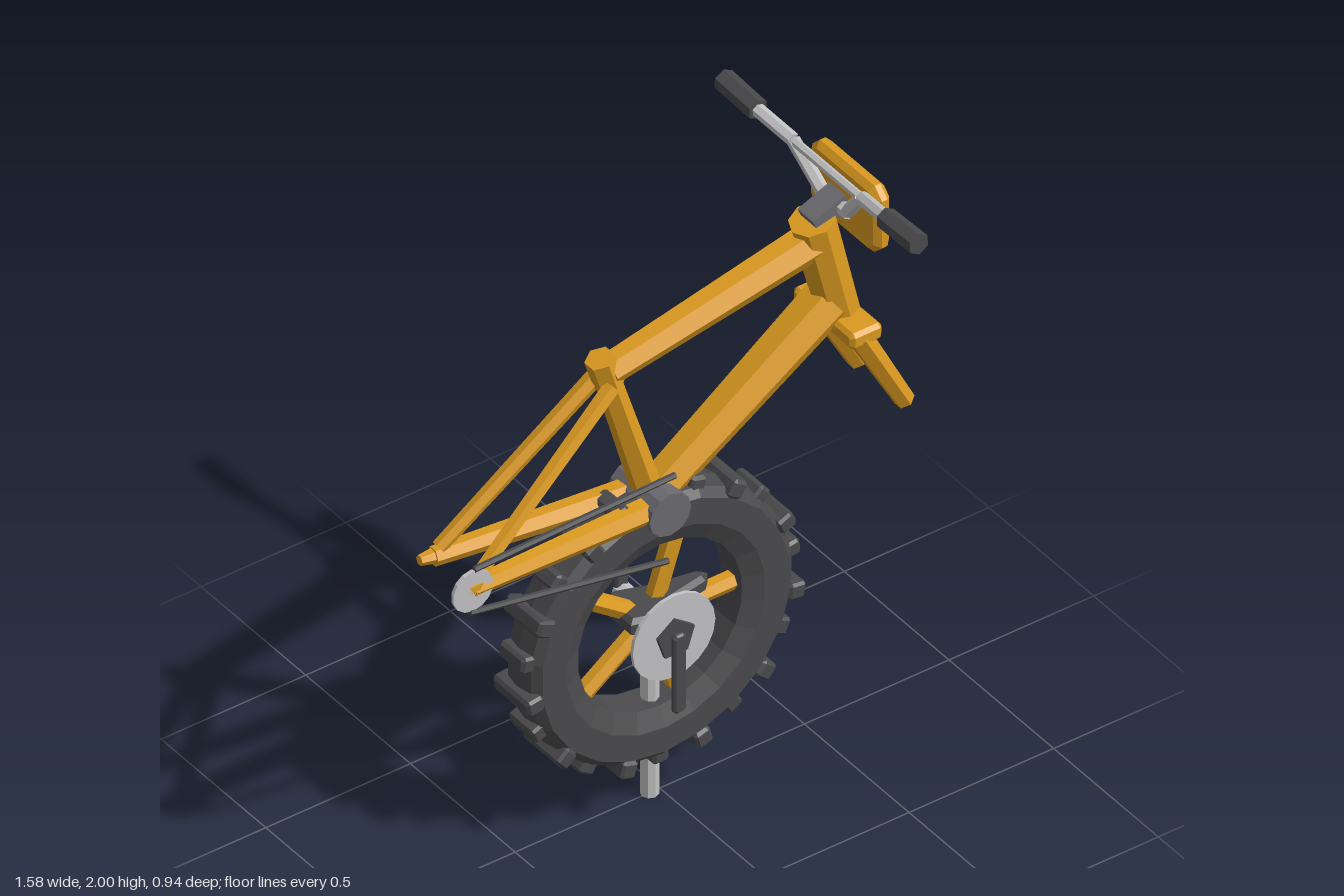
import * as THREE from 'three';

const mat = (name, color) => {
  const m = new THREE.MeshStandardMaterial({ color, flatShading: true });
  m.name = name;
  return m;
};

export function createModel() {
  const orange = mat('frame orange', 0xdb9a20);
  const black = mat('rubber black', 0x4a4a4c);
  const steel = mat('light steel', 0xc2c2c4);
  const grey = mat('dark grey metal', 0x6a6a70);

  const model = new THREE.Group();
  model.name = 'bicycle';

  const add = (name, geo, material, pos = [0, 0, 0], parent = model) => {
    const m = new THREE.Mesh(geo, material);
    m.name = name;
    m.position.set(...pos);
    parent.add(m);
    return m;
  };
  // Straight tapered tube between two points
  const tube = (name, a, b, r0, r1, material, sides = 6, parent = model) => {
    const p = new THREE.Vector3(...a), q = new THREE.Vector3(...b);
    const d = q.clone().sub(p);
    const m = add(name, new THREE.CylinderGeometry(r1, r0, d.length(), sides), material,
      p.clone().add(q).multiplyScalar(0.5).toArray(), parent);
    m.quaternion.setFromUnitVectors(new THREE.Vector3(0, 1, 0), d.normalize());
    return m;
  };
  // Disc or axle lying along z
  const disc = (name, r, z0, z1, x, y, material, sides) =>
    add(name, new THREE.CylinderGeometry(r, r, z1 - z0, sides).rotateX(Math.PI / 2),
      material, [x, y, (z0 + z1) / 2]);
  // Bevelled plate from a list of outline points, centred in depth
  const plate = (points, depth, bevel) => {
    const shape = new THREE.Shape(points.map(p => new THREE.Vector2(...p)));
    return new THREE.ExtrudeGeometry(shape, {
      depth: depth - 2 * bevel, bevelEnabled: true, bevelThickness: bevel,
      bevelSize: bevel, bevelOffset: -bevel, bevelSegments: 1,
    }).translate(0, 0, -depth / 2 + bevel);
  };
  const octagon = (w, h, c) => [
    [-w + c, -h], [w - c, -h], [w, -h + c], [w, h - c],
    [w - c, h], [-w + c, h], [-w, h - c], [-w, -h + c]];

  // Main frame
  tube('seatTube', [-0.035, 1.05, 0], [-0.19, 1.56, 0], 0.046, 0.038, orange);
  tube('seatClamp', [-0.175, 1.51, 0], [-0.208, 1.615, 0], 0.045, 0.045, orange);
  tube('topTube', [-0.18, 1.56, 0], [0.53, 1.7, 0], 0.048, 0.06, orange);
  tube('downTube', [-0.02, 1.06, 0], [0.58, 1.47, 0], 0.062, 0.075, orange);
  tube('headTube', [0.617, 1.41, 0], [0.527, 1.775, 0], 0.066, 0.07, orange, 8);
  disc('bottomBracket', 0.072, -0.1, 0.1, -0.035, 1.045, grey, 12);

  // Rear stays and dropouts
  for (const s of [1, -1]) {
    tube('seatStay', [-0.19, 1.53, s * 0.035], [-0.7, 1.115, s * 0.088], 0.028, 0.023, orange);
    tube('chainStay', [-0.05, 1.05, s * 0.05], [-0.72, 1.09, s * 0.09], 0.042, 0.03, orange);
    tube('dropout', [-0.7, 1.09, s * 0.09], [-0.765, 1.095, s * 0.092], 0.026, 0.016, orange);
  }

  // Fork
  add('forkCrown', plate(octagon(0.145, 0.028, 0.012), 0.11, 0.012).rotateY(Math.PI / 2),
    orange, [0.615, 1.405, 0]);
  for (const s of [1, -1])
    tube('forkLeg', [0.605, 1.4, s * 0.112], [0.765, 1.1, s * 0.112], 0.038, 0.031, orange);

  // Front plate
  add('frontPlate', plate(octagon(0.166, 0.117, 0.035), 0.055, 0.018).rotateY(Math.PI / 2),
    orange, [0.658, 1.803, 0]);

  // Stem, handlebar and grips
  const stem = add('stem', new THREE.BoxGeometry(0.12, 0.058, 0.075), grey, [0.57, 1.795, 0]);
  stem.rotation.z = 0.4;
  tube('barClamp', [0.605, 1.805, -0.07], [0.605, 1.805, 0.07], 0.022, 0.022, steel);
  tube('crossbar', [0.578, 1.93, -0.16], [0.578, 1.93, 0.16], 0.014, 0.014, steel);
  for (const s of [1, -1]) {
    const path = [[0.605, 1.805, 0.06], [0.58, 1.93, 0.165], [0.56, 1.957, 0.31]];
    for (let i = 0; i < 2; i++)
      tube('handlebar', path[i].map((v, k) => k === 2 ? v * s : v),
        path[i + 1].map((v, k) => k === 2 ? v * s : v), 0.021, 0.021, steel);
    tube('grip', [0.56, 1.957, s * 0.305], [0.558, 1.965, s * 0.467], 0.034, 0.035, black);
  }

  // Wheel
  const wheel = new THREE.Group();
  wheel.name = 'wheel';
  wheel.position.set(-0.035, 0.625, 0);
  model.add(wheel);
  const profile = [[0.285, -0.05], [0.345, -0.078], [0.43, -0.078], [0.455, -0.055], [0.465, 0],
    [0.455, 0.055], [0.43, 0.078], [0.345, 0.078], [0.285, 0.05], [0.285, -0.05]];
  add('tire', new THREE.LatheGeometry(profile.map(p => new THREE.Vector2(...p)), 22)
    .rotateX(Math.PI / 2), black, [0, 0, 0], wheel);

  // Tread blocks, alternating narrow and wide
  for (let i = 0; i < 22; i++) {
    const a = -Math.PI / 2 + i * Math.PI * 2 / 22;
    const half = i % 2 ? 0.087 : 0.06;
    const knob = add('treadBlock', plate(octagon(0.027, half, 0.008), 0.06, 0.01)
      .rotateX(Math.PI / 2), black,
    [0.457 * Math.cos(a), 0.457 * Math.sin(a), 0], wheel);
    knob.rotation.z = a - Math.PI / 2;
  }
  // Five spokes
  for (let i = 0; i < 5; i++) {
    const a = i * Math.PI * 2 / 5, c = Math.cos(a), s = Math.sin(a);
    tube('spoke', [0.02 * c, 0.02 * s, 0], [0.295 * c, 0.295 * s, 0], 0.03, 0.03, orange, 6, wheel);
  }

  // Chainring, axle and cranks
  disc('chainring', 0.143, 0.105, 0.117, -0.035, 0.625, steel, 20);
  disc('chainringBoss', 0.066, 0.11, 0.13, -0.035, 0.625, black, 5).rotation.z = Math.PI;
  disc('crankAxle', 0.034, -0.14, 0.115, -0.035, 0.625, steel, 8);
  for (const s of [1, -1])
    add('crank', plate(octagon(0.022, 0.138, 0.01), 0.022, 0.006), black,
      [-0.035, 0.627 - s * 0.115, s * 0.139]);

  // Saddle and seat post
  tube('seatPost', [-0.035, 0, 0], [-0.035, 0.65, 0], 0.028, 0.028, steel, 8);
  const saddleOutline = [[-0.15, -0.07], [-0.1, -0.085], [0, -0.05], [0.14, -0.025],
    [0.165, 0], [0.14, 0.025], [0, 0.05], [-0.1, 0.085], [-0.15, 0.07]];
  add('saddle', plate(saddleOutline, 0.06, 0.014).rotateX(-Math.PI / 2), black, [0, 0.67, 0]);

  // Rear sprocket and chain
  disc('sprocket', 0.07, 0.1, 0.111, -0.725, 1.095, steel, 14);
  disc('sprocketBolt', 0.026, 0.1, 0.116, -0.715, 1.1, orange, 3);
  tube('chainTop', [-0.72, 1.168, 0.108], [-0.025, 1.187, 0.108], 0.01, 0.01, black);
  tube('chainBottom', [-0.735, 1.022, 0.108], [-0.05, 0.895, 0.108], 0.01, 0.01, black);

  return model;
}
